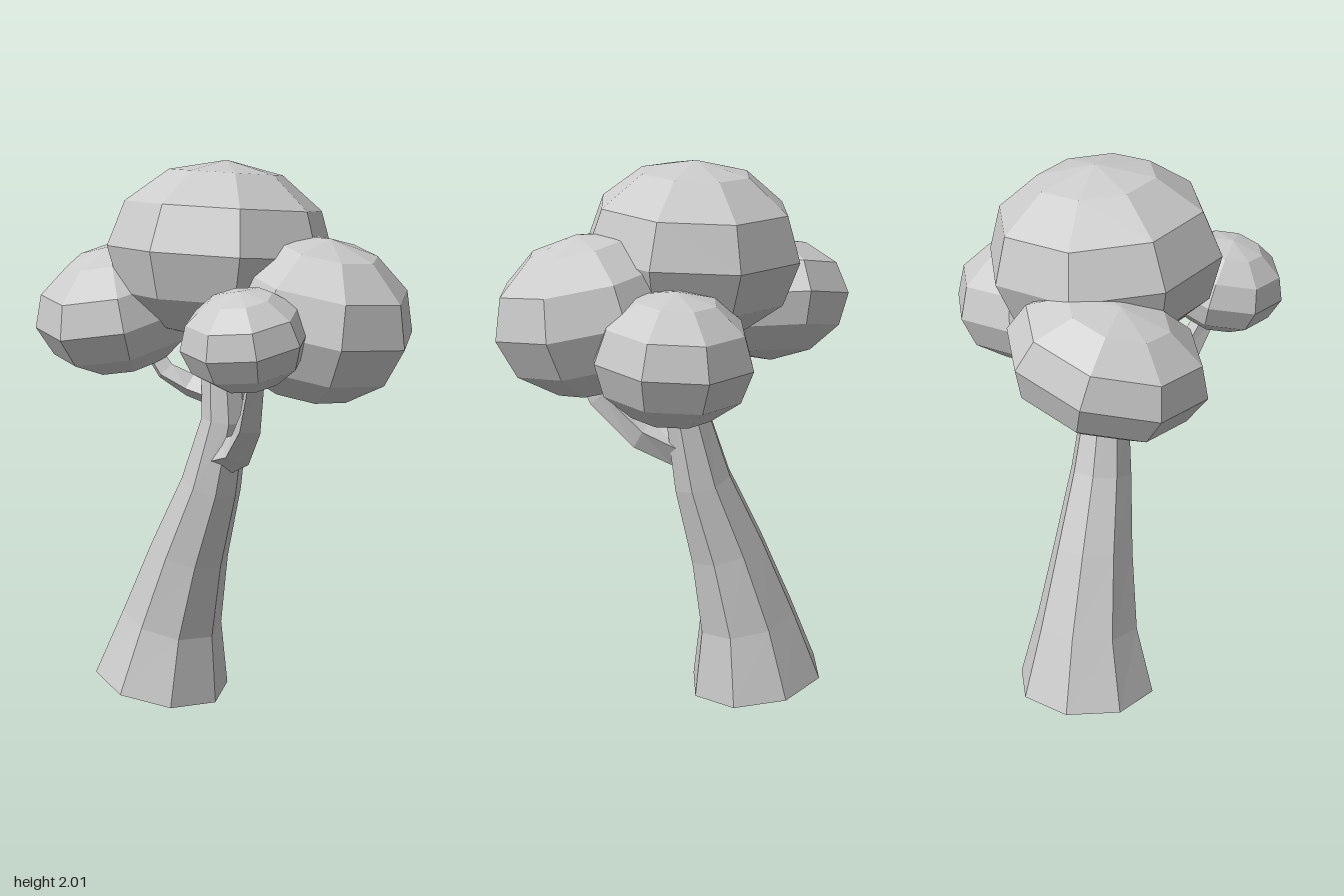
import * as THREE from 'three';

const material = new THREE.MeshStandardMaterial({ color: 0xcccccc, flatShading: true });

// Tapered limb: each ring is [x, y, z, radius], set square to the path and capped at both ends
function limb(name, rings, sides) {
  const centres = rings.map(([x, y, z]) => new THREE.Vector3(x, y, z));
  const positions = [];
  const index = [];
  const last = rings.length - 1;
  centres.forEach((centre, i) => {
    const tangent = centres[Math.min(i + 1, last)].clone()
      .sub(centres[Math.max(i - 1, 0)]).normalize();
    const across = tangent.clone().cross(new THREE.Vector3(0, 0, 1)).normalize();
    const out = across.clone().cross(tangent);
    for (let s = 0; s < sides; s++) {
      const a = (s / sides) * Math.PI * 2;
      const p = centre.clone()
        .addScaledVector(across, Math.cos(a) * rings[i][3])
        .addScaledVector(out, Math.sin(a) * rings[i][3]);
      positions.push(p.x, p.y, p.z);
    }
  });
  for (let s = 0; s < sides; s++) {
    const t = (s + 1) % sides;
    for (let i = 0; i < last; i++) {
      const a = i * sides + s, b = i * sides + t;
      index.push(a, a + sides, b, b, a + sides, b + sides);
    }
    if (s > 0 && s < sides - 1) {
      const top = last * sides;
      index.push(0, s, t, top, top + t, top + s);
    }
  }
  const geometry = new THREE.BufferGeometry();
  geometry.setAttribute('position', new THREE.Float32BufferAttribute(positions, 3));
  geometry.setIndex(index);
  geometry.computeVertexNormals();
  const mesh = new THREE.Mesh(geometry, material);
  mesh.name = name;
  return mesh;
}

// Faceted leaf cluster: squashed and slightly tilted eight-sided ball
function cluster(name, position, size, tiltX, tiltZ) {
  const mesh = new THREE.Mesh(new THREE.SphereGeometry(1, 8, 6), material);
  mesh.name = name;
  mesh.position.set(...position);
  mesh.scale.set(...size);
  mesh.rotation.set(tiltX, 0, tiltZ);
  return mesh;
}

export function createModel() {
  const tree = new THREE.Group();
  tree.name = 'tree';

  // Leaning trunk, flared at the foot
  tree.add(limb('trunk', [
    [-0.325, 0.027, 0.045, 0.256],
    [-0.28, 0.28, 0.035, 0.19],
    [-0.195, 0.56, 0.035, 0.147],
    [-0.095, 0.83, 0.035, 0.112],
    [-0.035, 1.08, 0.033, 0.085],
    [-0.05, 1.32, 0.03, 0.073],
    [-0.05, 1.55, 0.03, 0.065],
  ], 8));

  // Branches reaching into the side clusters
  tree.add(limb('frontBranch', [
    [-0.01, 0.95, 0.06, 0.065],
    [0.1, 1.0, 0.13, 0.06],
    [0.22, 1.13, 0.24, 0.05],
    [0.31, 1.34, 0.33, 0.035],
  ], 4));
  tree.add(limb('rightBranch', [
    [-0.06, 1.16, 0.04, 0.045],
    [-0.17, 1.19, 0.06, 0.045],
    [-0.25, 1.24, 0.1, 0.04],
    [-0.36, 1.4, 0.13, 0.03],
  ], 4));

  // Leaf clusters
  tree.add(
    cluster('topLeaves', [-0.05, 1.68, 0.03], [0.4, 0.317, 0.41], -0.1, 0),
    cluster('leftLeaves', [0.335, 1.475, 0.015], [0.36, 0.285, 0.325], 0, -0.2),
    cluster('rightLeaves', [-0.41, 1.465, 0.145], [0.29, 0.227, 0.35], 0.22, 0.05),
    cluster('frontLeaves', [0.29, 1.45, 0.37], [0.217, 0.168, 0.22], 0.2, 0),
    cluster('backLeaves', [0.16, 1.36, -0.29], [0.285, 0.232, 0.3], -0.12, 0),
  );
  return tree;
}
